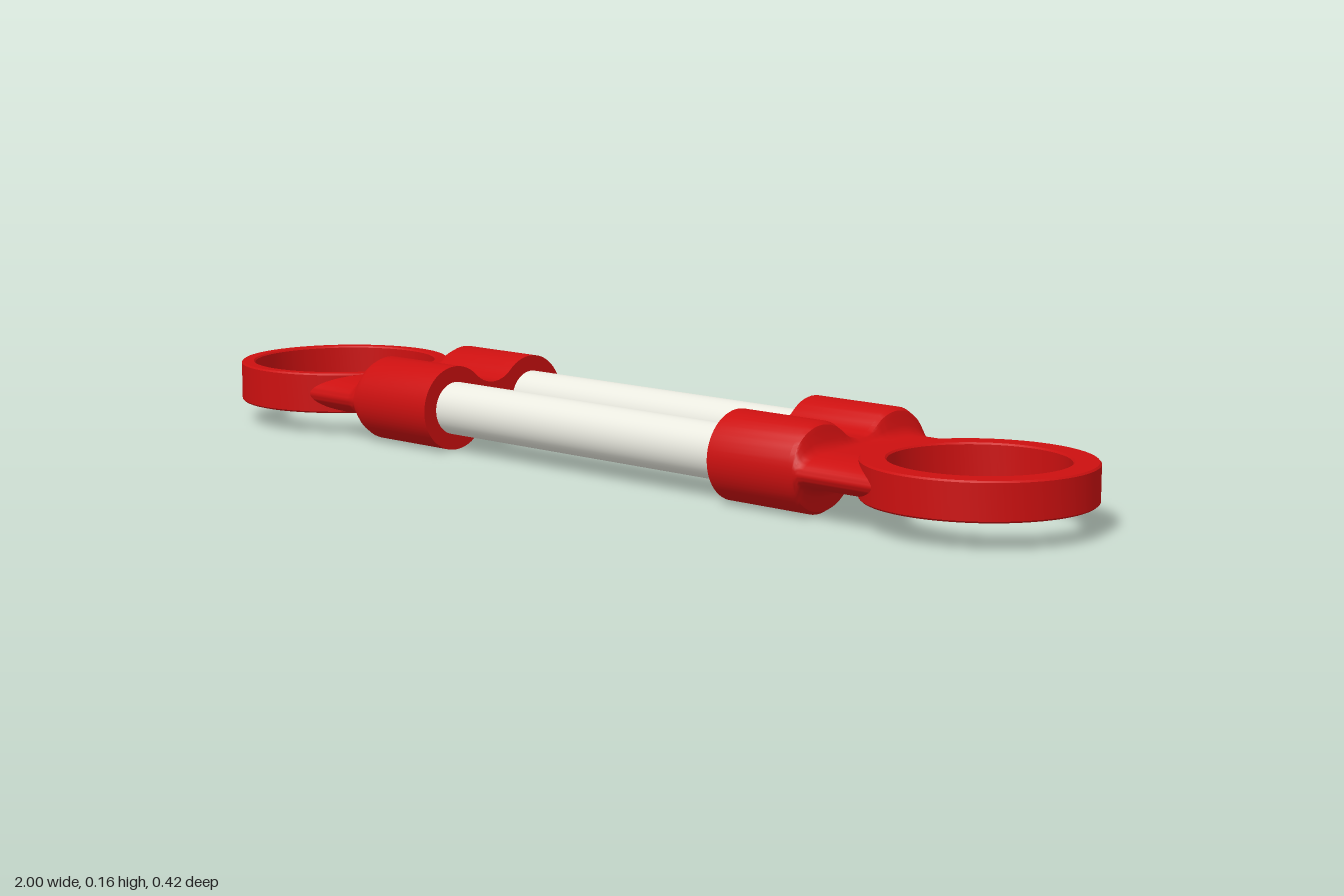
import * as THREE from 'three';
import { toCreasedNormals } from 'three/addons/utils/BufferGeometryUtils.js';

const Y = 0.08, SPACING = 0.1, SOCKET_R = 0.08;
const red = new THREE.MeshStandardMaterial({ color: 0xcc1010 });
const white = new THREE.MeshStandardMaterial({ color: 0xeaeae0 });

// Closed outline of the twin socket in (z, y): two circles joined by tangent fillets
function socketProfile() {
  const h = 0.105, r = 0.065, a = Math.PI - Math.atan2(h, SPACING), b = Math.PI - a;
  const pts = [];
  const arc = (cz, cy, rad, from, to, n) => {
    for (let i = 0; i < n; i++) {
      const t = from + (to - from) * i / n;
      pts.push(new THREE.Vector2(cz + rad * Math.cos(t), cy + rad * Math.sin(t)));
    }
  };
  arc(SPACING, 0, SOCKET_R, -a, a, 40);
  arc(0, h, r, -b, -a, 14);
  arc(-SPACING, 0, SOCKET_R, b, 2 * Math.PI - b, 40);
  arc(0, -h, r, a, b, 14);
  return pts;
}

// Socket block that flattens into a plate and stops inside the wall of the ring
function bracketGeometry({ start, face, centre, outer, inner, plate }) {
  const profile = socketProfile(), n = profile.length;
  const mid = (outer + inner) / 2;
  const pos = [], index = [];
  // Each row: x position and how far the section has flattened
  const rows = [[start, 0], [face - 0.012, 0], [face - 0.003, 0.12], [face, 0.3],
    [face + 0.004, 0.65], [face + 0.01, 0.88], [face + 0.02, 1], [null, 1]];
  for (const [x, flat] of rows) {
    for (const p of profile) {
      const k = Math.max(0, Math.abs(p.x) - SPACING) / SOCKET_R;
      const flatY = Math.sign(p.y) * plate * Math.sqrt(Math.max(0, 1 - k * k));
      const end = centre - Math.sqrt(Math.max(0, mid * mid - p.x * p.x));
      pos.push(x ?? end, Y + THREE.MathUtils.lerp(p.y, flatY, flat), p.x);
    }
  }
  for (let i = 0; i < rows.length - 1; i++) {
    for (let j = 0; j < n; j++) {
      const a = i * n + j, d = i * n + (j + 1) % n, b = a + n, c = d + n;
      index.push(a, b, c, a, c, d);
    }
  }
  // End face around the rods
  for (const tri of THREE.ShapeUtils.triangulateShape(profile, [])) index.push(...tri);
  const geo = new THREE.BufferGeometry();
  geo.setAttribute('position', new THREE.Float32BufferAttribute(pos, 3));
  geo.setIndex(index);
  return toCreasedNormals(geo, 0.6);
}

// Flat ring with slightly bevelled edges
function ringGeometry({ centre, outer, inner, low, high }) {
  const e = 0.003;
  const pts = [[outer - e, low], [outer, low + e], [outer, high - e], [outer - e, high],
    [inner + e, high], [inner, high - e], [inner, low + e], [inner + e, low], [outer - e, low]]
    .map(([x, y]) => new THREE.Vector2(x, y));
  const geo = toCreasedNormals(new THREE.LatheGeometry(pts, 80), 0.5);
  return geo.translate(centre, 0, 0);
}

function makeEnd(name, spec) {
  const group = new THREE.Group();
  group.name = name;
  const bracket = new THREE.Mesh(bracketGeometry(spec), red);
  bracket.name = 'socketBracket';
  const ring = new THREE.Mesh(ringGeometry(spec), red);
  ring.name = 'ring';
  group.add(bracket, ring);
  return group;
}

export function createModel() {
  const model = new THREE.Group();
  model.name = 'connectingRod';

  // Small ring at +x, large ring turned round to -x
  const smallEnd = makeEnd('smallEnd', {
    start: 0.36, face: 0.552, centre: 0.8, outer: 0.198, inner: 0.152,
    low: 0.047, high: 0.115, plate: 0.032,
  });
  const largeEnd = makeEnd('largeEnd', {
    start: 0.355, face: 0.556, centre: 0.792, outer: 0.208, inner: 0.181,
    low: 0.042, high: 0.12, plate: 0.038,
  });
  largeEnd.rotation.y = Math.PI;
  model.add(smallEnd, largeEnd);

  // Pair of parallel rods, seated in the sockets
  for (const side of [1, -1]) {
    const rod = new THREE.Mesh(new THREE.CylinderGeometry(0.05, 0.05, 0.9, 40), white);
    rod.name = side > 0 ? 'frontRod' : 'backRod';
    rod.rotation.z = Math.PI / 2;
    rod.position.set(0, Y, side * SPACING);
    model.add(rod);
  }
  return model;
}
